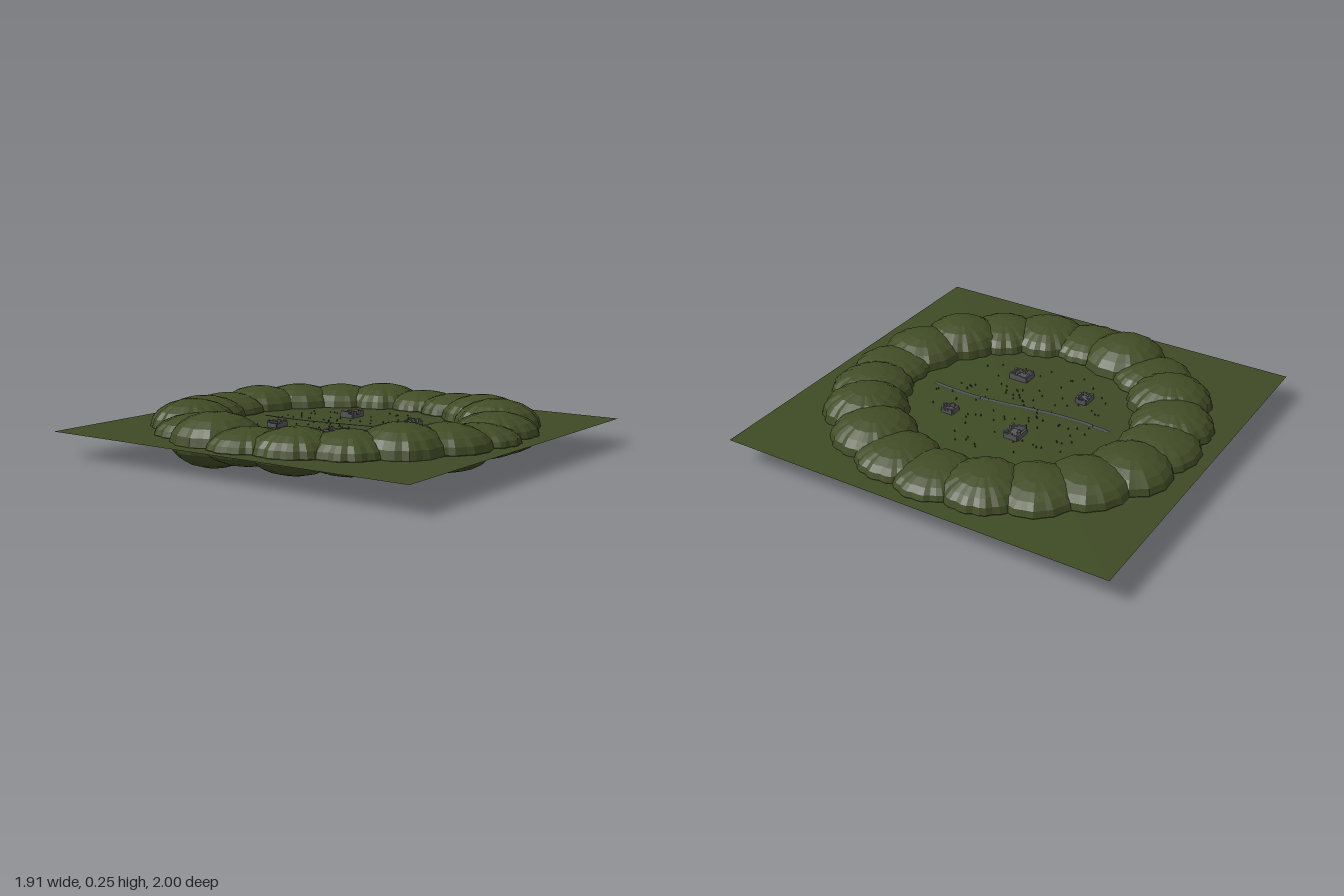
import * as THREE from 'three';

const GROUND_Y = 0.13;

function mat(name, color, extra = {}) {
  return Object.assign(new THREE.MeshStandardMaterial({ color, ...extra }), { name });
}

// small seeded generator
function seeded(seed) {
  return () => {
    seed = (seed * 16807) % 2147483647;
    return seed / 2147483647;
  };
}

// flattened dome with a shell-like fluted rim
function moundGeometry(radius, height, lobes, phase) {
  const geo = new THREE.SphereGeometry(1, lobes * 3, 10);
  const p = geo.attributes.position;
  for (let i = 0; i < p.count; i++) {
    const a = Math.atan2(p.getZ(i), p.getX(i));
    const flute = 0.96 + 0.06 * Math.abs(Math.sin((a * lobes) / 2 + phase)) + 0.02 * Math.sin(3 * a + phase);
    p.setXYZ(i, p.getX(i) * radius * flute, p.getY(i) * height, p.getZ(i) * radius * flute);
  }
  geo.computeVertexNormals();
  return geo;
}

// winding ribbon lying just above the ground
function pathGeometry() {
  const geo = new THREE.PlaneGeometry(0.022, 0.96, 1, 28).rotateX(-Math.PI / 2);
  const p = geo.attributes.position;
  for (let i = 0; i < p.count; i++) {
    p.setX(i, p.getX(i) + 0.03 * Math.sin((p.getZ(i) * Math.PI) / 0.6));
  }
  return geo;
}

export function createModel() {
  const model = new THREE.Group();
  const rand = seeded(4711);
  const grass = mat('grass', 0x3f4a25, { side: THREE.DoubleSide });
  const hill = mat('hill green', 0x424c26, { flatShading: true });
  const gravel = mat('gravel', 0x505355, { side: THREE.DoubleSide });
  const stone = mat('stone', 0x56565a, { flatShading: true });
  const shrub = mat('dark shrub', 0x2e381c, { flatShading: true });

  const add = (parent, name, geo, material, x, y, z) => {
    const mesh = new THREE.Mesh(geo, material);
    mesh.name = name;
    mesh.position.set(x, y, z);
    parent.add(mesh);
    return mesh;
  };
  const group = (name) => {
    const g = new THREE.Group();
    g.name = name;
    model.add(g);
    return g;
  };

  // ground sheet and path
  add(model, 'ground', new THREE.PlaneGeometry(1.91, 2).rotateX(-Math.PI / 2), grass, 0, GROUND_Y, 0);
  add(model, 'path', pathGeometry(), gravel, 0, GROUND_Y + 0.004, 0);

  // ring of twenty hills, half heights starting at +x and turning toward +z
  const heights = [0.082, 0.09, 0.115, 0.127, 0.1, 0.078, 0.108, 0.127, 0.1, 0.105,
    0.085, 0.127, 0.085, 0.122, 0.105, 0.09, 0.105, 0.1, 0.095, 0.105];
  const hills = group('hillRing');
  heights.forEach((h, i) => {
    const a = (i * Math.PI) / 10;
    const r = 0.195 + (h - 0.08) * 0.3;
    add(hills, 'hill', moundGeometry(r, h, 14, rand() * 6), hill,
      Math.cos(a) * 0.71, 0.133, Math.sin(a) * 0.75);
  });

  // four ruined stone huts: x, z, width, depth
  const ruins = group('ruins');
  for (const [x, z, w, d] of [
    [-0.22, -0.24, 0.075, 0.055], [0.225, -0.115, 0.085, 0.07],
    [-0.255, 0.14, 0.07, 0.095], [0.2, 0.27, 0.055, 0.06],
  ]) {
    const hut = new THREE.Group();
    hut.name = 'ruin';
    hut.position.set(x, GROUND_Y, z);
    ruins.add(hut);
    add(hut, 'floor', new THREE.BoxGeometry(w * 0.9, 0.008, d * 0.9), stone, 0, 0.004, 0);
    for (const s of [-1, 1]) {
      // each wall is broken into pieces of uneven height
      for (let k = -1; k <= 1; k++) {
        const h1 = 0.014 + rand() * 0.02;
        const h2 = 0.014 + rand() * 0.02;
        add(hut, 'wall', new THREE.BoxGeometry(w / 3, h1, 0.01), stone, (k * w) / 3, h1 / 2, (s * d) / 2);
        add(hut, 'wall', new THREE.BoxGeometry(0.01, h2, d / 3), stone, (s * w) / 2, h2 / 2, (k * d) / 3);
      }
    }
    for (let k = 0; k < 7; k++) {
      const rock = add(hut, 'rubble', new THREE.DodecahedronGeometry(0.005 + rand() * 0.005), stone,
        (rand() - 0.5) * w, 0.01, (rand() - 0.5) * d);
      rock.rotation.set(rand() * 3, rand() * 3, 0);
    }
  }

  // tiny shrubs scattered over the hollow
  const shrubs = group('shrubs');
  const shrubGeo = new THREE.ConeGeometry(0.004, 0.01, 5);
  for (let i = 0; i < 110; i++) {
    const a = rand() * Math.PI * 2;
    const r = Math.sqrt(rand());
    add(shrubs, 'shrub', shrubGeo, shrub, Math.cos(a) * r * 0.42, GROUND_Y + 0.005, Math.sin(a) * r * 0.46);
  }
  return model;
}
